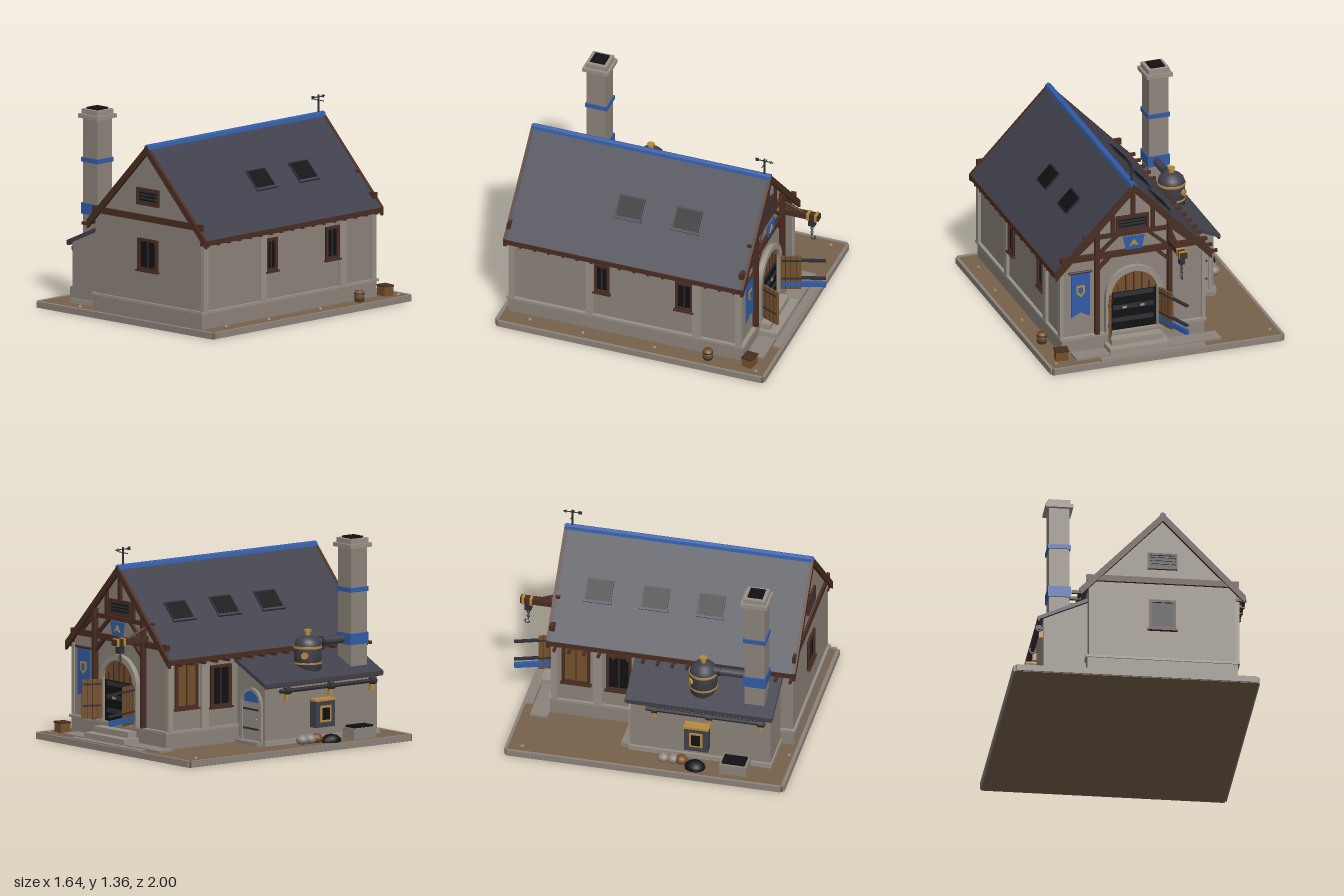
import * as THREE from 'three';

const mat = (name, color, opts = {}) => {
  const m = new THREE.MeshStandardMaterial({ color, ...opts });
  m.name = name;
  return m;
};

export function createModel() {
  const root = new THREE.Group();
  root.name = 'workshop';
  const stone = mat('stone', 0x8c837a), trim = mat('trim stone', 0x979086), earth = mat('earth', 0x77614a);
  const slate = mat('slate', 0x40404c), blue = mat('blue', 0x315ca6), timber = mat('dark timber', 0x4a2d22);
  const wood = mat('wood', 0x74502c), black = mat('black', 0x111113), brass = mat('brass', 0xb58b3e);
  const iron = mat('iron', 0x2e2f37);

  // ---- helpers ----
  const add = (name, geo, m, parent = root) => {
    const mesh = new THREE.Mesh(geo, m);
    mesh.name = name;
    parent.add(mesh);
    return mesh;
  };
  // box given by its limits
  const span = (name, m, x0, x1, y0, y1, z0, z1, parent = root) => {
    const b = add(name, new THREE.BoxGeometry(x1 - x0, y1 - y0, z1 - z0), m, parent);
    b.position.set((x0 + x1) / 2, (y0 + y1) / 2, (z0 + z1) / 2);
    return b;
  };
  // outline in x/y pulled from z0 to z1
  const prism = (name, m, outline, z0, z1, parent = root) => {
    const s = Array.isArray(outline) ? new THREE.Shape(outline.map(p => new THREE.Vector2(...p))) : outline;
    const g = new THREE.ExtrudeGeometry(s, { depth: z1 - z0, bevelEnabled: false, curveSegments: 12 });
    g.translate(0, 0, z0);
    return add(name, g, m, parent);
  };
  const rod = (name, m, a, b, r, sides = 12, parent = root) => {
    const p = new THREE.Vector3(...a), q = new THREE.Vector3(...b), d = q.clone().sub(p);
    const c = add(name, new THREE.CylinderGeometry(r, r, d.length(), sides), m, parent);
    c.position.copy(p).add(q).multiplyScalar(0.5);
    c.quaternion.setFromUnitVectors(new THREE.Vector3(0, 1, 0), d.normalize());
    return c;
  };
  const beam = (name, x0, y0, x1, y1, w, z0, z1) => {
    const b = add(name, new THREE.BoxGeometry(Math.hypot(x1 - x0, y1 - y0), w, z1 - z0), timber);
    b.position.set((x0 + x1) / 2, (y0 + y1) / 2, (z0 + z1) / 2);
    b.rotation.z = Math.atan2(y1 - y0, x1 - x0);
  };
  const place = (name, x, y, z, ry = 0) => {
    const g = new THREE.Group();
    g.name = name;
    g.position.set(x, y, z);
    g.rotation.y = ry;
    root.add(g);
    return g;
  };
  const arch = (cx, r, y0, ys) => new THREE.Shape().moveTo(cx - r, y0).lineTo(cx - r, ys)
    .absarc(cx, ys, r, Math.PI, 0, true).lineTo(cx + r, y0);
  const archRing = (cx, R, r, y0, ys) => arch(cx, R, y0, ys).lineTo(cx + r, y0).lineTo(cx + r, ys)
    .absarc(cx, ys, r, 0, Math.PI, false).lineTo(cx - r, y0);
  const frame = (g, m, w, h, t, d) => {
    for (const s of [-1, 1]) {
      span('frameSide', m, s * (w - t) / 2 - t / 2, s * (w - t) / 2 + t / 2, -h / 2, h / 2, -0.01, d, g);
      span('frameRail', m, -w / 2, w / 2, s * (h - t) / 2 - t / 2, s * (h - t) / 2 + t / 2, -0.01, d, g);
    }
  };
  const windowAt = (x, y, z, ry, w, h, pane = black) => {
    const g = place('window', x, y, z, ry);
    span('pane', pane, -w / 2, w / 2, -h / 2, h / 2, -0.005, 0.004, g);
    frame(g, timber, w, h, 0.018, 0.016);
    span('mullion', pane === black ? iron : timber, -0.004, 0.004, -h / 2, h / 2, 0, 0.01, g);
    span('sill', timber, -w / 2 - 0.01, w / 2 + 0.01, -h / 2 - 0.012, -h / 2, 0, 0.025, g);
  };
  const ventAt = (x, y, z, ry, w, h) => {
    const g = place('vent', x, y, z, ry);
    span('ventBack', black, -w / 2, w / 2, -h / 2, h / 2, -0.005, 0.004, g);
    frame(g, timber, w, h, 0.015, 0.016);
    for (let i = 0; i < 4; i++) {
      span('slat', iron, -w / 2 + 0.015, w / 2 - 0.015, -0.006, 0.006, 0.004, 0.01, g).position.y = (i - 1.5) * h * 0.2;
    }
  };

  // ---- yard ----
  span('ground', earth, -0.81, 0.81, 0, 0.042, -0.89, 0.99);
  for (const s of [-1, 1]) span('kerbSide', stone, s * 0.81 - 0.01, s * 0.81 + 0.01, 0.003, 0.045, -0.88, 0.975);
  span('kerbFront', stone, -0.8, 0.8, 0.003, 0.045, 0.975, 1);
  span('kerbBack', stone, -0.8, 0.8, 0.003, 0.045, -0.9, -0.88);
  for (const [x, z] of [[-0.75, -0.79], [0.76, -0.82], [0.74, -0.1], [0.75, 0.4], [0.73, 0.78], [-0.45, 0.95]]) {
    add('pebble', new THREE.IcosahedronGeometry(0.014), stone).position.set(x, 0.046, z);
  }

  // ---- main house ----
  const cx = 0.175;
  prism('walls', stone, [[-0.315, 0.045], [0.665, 0.045], [0.665, 0.66], [cx, 1.17], [-0.315, 0.66]], -0.68, 0.945);
  span('plinth', stone, -0.325, 0.675, 0.04, 0.148, -0.7, 0.955);
  span('plinthBand', trim, -0.335, 0.688, 0.145, 0.162, -0.71, 0.962);
  for (const [a, b] of [[0.905, 0.948], [0.35, 0.405], [-0.405, -0.346], [-0.69, -0.646]]) {
    span('pilaster', trim, 0.66, 0.686, 0.16, 0.64, a, b);
    if (b < 0) span('pilaster', trim, -0.336, -0.31, 0.16, 0.64, a, b);
  }
  const chevron = (lift, drop) => [[-0.37, 0.645 + lift], [cx, 1.21 + lift], [0.72, 0.645 + lift],
    [0.72, 0.645 - drop], [cx, 1.21 - drop], [-0.37, 0.645 - drop]];
  prism('roof', slate, chevron(0, 0.035), -0.71, 0.962);
  for (const [a, b] of [[-0.718, -0.695], [0.95, 0.972]]) prism('bargeBoard', timber, chevron(0.003, 0.055), a, b);
  prism('ridgeCap', blue, [[cx - 0.024, 1.19], [cx - 0.018, 1.212], [cx, 1.222], [cx + 0.018, 1.212], [cx + 0.024, 1.19]], -0.712, 0.965);
  for (const s of [-1, 1]) {
    const ex = cx + s * 0.545;
    span('eaveBoard', timber, ex - 0.008, ex + 0.008, 0.612, 0.645, -0.705, 0.965);
    for (let i = 0; i < 17; i++) span('rafterTail', timber, ex - 0.06, ex + 0.012, 0.605, 0.625, -0.66 + i * 0.1, -0.642 + i * 0.1);
  }
  const slope = Math.atan2(0.565, 0.545);
  for (const [s, x, zs] of [[-1, -0.105, [-0.417, -0.035, 0.34]], [1, 0.454, [-0.228, 0.175]]]) {
    for (const z of zs) {
      const g = place('skylight', x, 1.21 - Math.abs(x - cx) * 0.565 / 0.545, z);
      g.rotation.z = -s * slope;
      span('skylightFrame', iron, -0.075, 0.075, -0.01, 0.01, -0.09, 0.09, g);
      span('skylightPane', black, -0.066, 0.066, 0.008, 0.013, -0.08, 0.08, g);
      span('skylightSill', slate, s * 0.081 - 0.007, s * 0.081 + 0.007, -0.01, 0.018, -0.098, 0.098, g);
    }
  }

  // front gable and windows
  span('frontTieBeam', timber, -0.33, 0.68, 0.703, 0.745, 0.94, 0.962);
  ventAt(0.174, 0.867, 0.945, 0, 0.2, 0.115);
  windowAt(0.174, 0.48, 0.945, 0, 0.18, 0.21);
  windowAt(0.665, 0.46, 0.295, Math.PI / 2, 0.105, 0.22);
  windowAt(0.665, 0.46, -0.284, Math.PI / 2, 0.124, 0.22);
  windowAt(-0.315, 0.46, -0.525, -Math.PI / 2, 0.19, 0.31, wood);
  windowAt(-0.315, 0.43, -0.235, -Math.PI / 2, 0.17, 0.28);

  // back gable framing
  span('backTieBeam', timber, -0.33, 0.68, 0.7, 0.74, -0.705, -0.67);
  span('collarBeam', timber, -0.17, 0.52, 0.842, 0.87, -0.7, -0.67);
  span('kingPost', timber, cx - 0.014, cx + 0.014, 0.98, 1.16, -0.7, -0.67);
  for (const s of [-1, 1]) {
    const at = d => cx + s * d;
    beam('post', at(0.255), 0.16, at(0.255), 0.9, 0.03, -0.715, -0.67);
    beam('gableBrace', at(0.4), 0.74, at(0.27), 0.855, 0.022, -0.698, -0.67);
    beam('gableBrace', at(0.23), 0.74, at(0.1), 0.855, 0.022, -0.698, -0.67);
    beam('gableStrut', at(0.14), 0.86, at(0.14), 1.03, 0.024, -0.698, -0.67);
    beam('kneeBrace', at(0.255), 0.62, at(0.16), 0.71, 0.022, -0.705, -0.67);
  }
  ventAt(0.178, 0.928, -0.68, Math.PI, 0.23, 0.11);
  prism('plaque', blue, [[0.1, 0.84], [0.25, 0.84], [0.23, 0.745], [0.12, 0.745]], -0.713, -0.706);
  prism('plaqueEmblem', brass, [[0.14, 0.77], [0.175, 0.82], [0.21, 0.77], [0.175, 0.782]], -0.718, -0.713);
  prism('banner', blue, [[0.48, 0.62], [0.61, 0.62], [0.61, 0.3], [0.545, 0.335], [0.48, 0.3]], -0.7, -0.693);
  rod('bannerRod', timber, [0.465, 0.625, -0.7], [0.625, 0.625, -0.7], 0.009);
  prism('bannerEmblem', brass, [[0.515, 0.53], [0.575, 0.53], [0.575, 0.475], [0.545, 0.445], [0.515, 0.475]], -0.705, -0.7);
  prism('bannerEmblemField', blue, [[0.53, 0.517], [0.56, 0.517], [0.56, 0.483], [0.545, 0.467], [0.53, 0.483]], -0.708, -0.705);

  // arched doorway with open leaves
  prism('doorArch', trim, archRing(0.172, 0.2, 0.162, 0.16, 0.42), -0.715, -0.67);
  prism('doorway', black, arch(0.172, 0.164, 0.16, 0.42), -0.688, -0.68);
  prism('fanlight', wood, arch(0.172, 0.155, 0.44, 0.441), -0.696, -0.688);
  for (let i = -2; i <= 2; i++) span('fanlightBar', timber, 0.168 + i * 0.055, 0.176 + i * 0.055, 0.44, 0.575 - 0.02 * i * i, -0.702, -0.695);
  for (const y of [0.22, 0.31, 0.4]) span('forgeBar', iron, 0.03, 0.314, y, y + 0.03, -0.694, -0.687);
  for (const x of [0.11, 0.234]) span('forgeKnob', trim, x - 0.015, x + 0.015, 0.315, 0.33, -0.699, -0.694);
  for (const [x, dx, dz, long] of [[0.335, 0.055, 0.13, 0], [-0.002, -0.095, 0.28, 1]]) {
    const leaf = place('doorLeaf', x, 0, -0.71, Math.atan2(dz, dx));
    span('leafBoards', wood, 0, 0.142, 0.18, 0.44, -0.008, 0.008, leaf);
    for (let i = 1; i < 4; i++) span('leafJoint', timber, i * 0.0355 - 0.002, i * 0.0355 + 0.002, 0.18, 0.44, -0.01, 0.01, leaf);
    const end = long ? 0.302 : 0.135;
    for (const y of [0.26, 0.402]) span('strap', iron, 0.01, end, y, y + 0.012, -0.012, 0.012, leaf);
    if (long) span('kickPlate', blue, 0.01, end, 0.2, 0.236, -0.011, 0.011, leaf);
  }
  // steps and paving
  span('pavingOuter', stone, -0.27, 0.46, 0.04, 0.052, -0.885, -0.83);
  span('pavingInner', stone, -0.4, 0.615, 0.04, 0.056, -0.82, -0.7);
  span('stepLow', trim, -0.04, 0.38, 0.04, 0.09, -0.83, -0.7);
  span('stepHigh', trim, -0.01, 0.35, 0.04, 0.13, -0.77, -0.7);

  // hoist
  span('hoistBeam', timber, -0.113, -0.066, 0.735, 0.775, -0.955, -0.67);
  for (const z of [-0.88, -0.935]) span('hoistBand', brass, -0.117, -0.062, 0.73, 0.78, z - 0.009, z + 0.009);
  rod('hoistBrace', timber, [-0.09, 0.83, -0.69], [-0.09, 0.77, -0.84], 0.01, 6);
  span('pulleyBlock', iron, -0.108, -0.072, 0.68, 0.737, -0.925, -0.88);
  for (let i = 0; i < 5; i++) {
    const link = add('chainLink', new THREE.TorusGeometry(0.009, 0.003, 6, 10), iron);
    link.position.set(-0.09, 0.672 - i * 0.016, -0.902);
    link.rotation.y = (i % 2) * Math.PI / 2;
  }
  const hook = add('hook', new THREE.TorusGeometry(0.015, 0.004, 6, 12, Math.PI * 1.4), iron);
  hook.position.set(-0.09, 0.585, -0.91);
  hook.rotation.set(0, Math.PI / 2, 0);
  hook.rotateZ(Math.PI * 0.95);

  // weather vane
  rod('vanePole', iron, [cx, 1.2, -0.665], [cx, 1.335, -0.665], 0.006, 8);
  rod('vaneCross', iron, [cx - 0.05, 1.298, -0.665], [cx + 0.05, 1.298, -0.665], 0.003, 6);
  rod('vaneArrow', iron, [cx, 1.32, -0.61], [cx, 1.32, -0.72], 0.004, 6);
  span('vaneTail', iron, cx - 0.003, cx + 0.003, 1.31, 1.332, -0.625, -0.603);
  const tip = add('vaneTip', new THREE.ConeGeometry(0.011, 0.025, 8), iron);
  tip.position.set(cx, 1.32, -0.72);
  tip.rotation.x = -Math.PI / 2;

  // ---- lean-to ----
  prism('leanToWalls', stone, [[-0.605, 0.045], [-0.31, 0.045], [-0.31, 0.585], [-0.605, 0.452]], -0.09, 0.86);
  span('leanToPlinth', trim, -0.622, -0.315, 0.04, 0.075, -0.1, 0.87);
  prism('leanToRoof', slate, [[-0.645, 0.435], [-0.31, 0.583], [-0.31, 0.61], [-0.645, 0.46]], -0.12, 0.88);
  span('leanToEave', timber, -0.643, -0.63, 0.428, 0.445, -0.115, 0.875);
  span('leanToStep', stone, -0.6, -0.37, 0.04, 0.07, -0.155, -0.09);
  prism('sideDoorArch', trim, archRing(-0.475, 0.11, 0.088, 0.07, 0.31), -0.108, -0.08);
  prism('sideDoor', trim, arch(-0.475, 0.088, 0.07, 0.31), -0.098, -0.088);
  prism('sideDoorTop', blue, arch(-0.475, 0.075, 0.325, 0.326), -0.103, -0.098);
  for (const y of [0.14, 0.27]) span('sideDoorStrap', iron, -0.56, -0.39, y, y + 0.012, -0.104, -0.097);
  add('sideDoorKnob', new THREE.SphereGeometry(0.009, 10, 8), brass).position.set(-0.535, 0.21, -0.106);

  // side pipe, brackets and firebox
  rod('sidePipe', iron, [-0.632, 0.4, 0.02], [-0.632, 0.4, 0.83], 0.014);
  for (const z of [0.08, 0.45, 0.8]) {
    rod('pipeFlange', iron, [-0.632, 0.4, z - 0.02], [-0.632, 0.4, z + 0.02], 0.024);
    span('pipeBracket', brass, -0.63, -0.6, 0.335, 0.385, z - 0.012, z + 0.012);
  }
  span('firebox', slate, -0.67, -0.6, 0.135, 0.31, 0.29, 0.45);
  span('fireboxTop', brass, -0.678, -0.6, 0.31, 0.325, 0.285, 0.455);
  span('fireboxDoor', brass, -0.676, -0.669, 0.17, 0.28, 0.325, 0.415);
  span('fireboxGrate', black, -0.681, -0.676, 0.185, 0.265, 0.34, 0.4);

  // chimney
  span('chimney', stone, -0.563, -0.427, 0.44, 1.29, 0.672, 0.808);
  for (const [a, b] of [[0.64, 0.715], [0.99, 1.02]]) span('chimneyBand', blue, -0.571, -0.419, a, b, 0.664, 0.816);
  span('chimneyCap', trim, -0.586, -0.404, 1.285, 1.312, 0.649, 0.831);
  span('chimneyCrown', trim, -0.57, -0.42, 1.312, 1.345, 0.665, 0.815);
  span('flue', black, -0.545, -0.445, 1.34, 1.356, 0.69, 0.79);

  // boiler and its flue pipe
  const boiler = place('boiler', -0.477, 0, 0.375);
  const prof = [[0, 0.47], [0.092, 0.47], [0.092, 0.655], [0.082, 0.69], [0.06, 0.712], [0.03, 0.725], [0, 0.728]];
  add('boilerTank', new THREE.LatheGeometry(prof.map(p => new THREE.Vector2(...p)), 24), slate, boiler);
  for (const [y, h] of [[0.65, 0.016], [0.545, 0.012]]) {
    add('boilerBand', new THREE.CylinderGeometry(0.096, 0.096, h, 24), brass, boiler).position.y = y;
  }
  rod('boilerValve', brass, [0, 0.71, 0], [0, 0.765, 0], 0.018, 12, boiler);
  add('boilerValveCap', new THREE.CylinderGeometry(0.026, 0.026, 0.01, 12), brass, boiler).position.y = 0.757;
  rod('boilerGauge', brass, [-0.05, 0.6, -0.06], [-0.066, 0.6, -0.08], 0.024, 14, boiler);
  rod('boilerPipe', slate, [-0.005, 0.675, 0.05], [-0.005, 0.675, 0.31], 0.028, 14, boiler);
  rod('boilerPipeCollar', iron, [-0.005, 0.675, 0.1], [-0.005, 0.675, 0.12], 0.034, 14, boiler);

  // ---- yard goods ----
  span('coalTrough', stone, -0.755, -0.63, 0.04, 0.115, 0.545, 0.73);
  span('troughCoal', black, -0.74, -0.645, 0.11, 0.128, 0.56, 0.715);
  const coal = add('coalHeap', new THREE.IcosahedronGeometry(0.06, 1), black);
  coal.position.set(-0.725, 0.05, 0.375);
  coal.scale.set(0.95, 0.8, 1.2);
  for (const [z, m] of [[0.155, stone], [0.22, stone], [0.275, wood]]) {
    const sack = add('sack', new THREE.SphereGeometry(0.042, 14, 10), m);
    sack.position.set(-0.695, 0.073, z);
    sack.scale.y = 0.8;
  }
  const barrel = place('barrel', 0.735, 0.045, -0.475);
  const stave = [[0, 0], [0.029, 0], [0.035, 0.036], [0.029, 0.073], [0, 0.073]];
  add('barrelBody', new THREE.LatheGeometry(stave.map(p => new THREE.Vector2(...p)), 14), wood, barrel);
  for (const y of [0.016, 0.056]) add('barrelHoop', new THREE.CylinderGeometry(0.035, 0.035, 0.007, 14), iron, barrel).position.y = y;
  const crate = place('crate', 0.7, 0.045, -0.755, -0.15);
  span('crateBody', wood, -0.042, 0.042, 0, 0.068, -0.036, 0.036, crate);
  span('crateLid', timber, -0.046, 0.046, 0.062, 0.072, -0.04, 0.04, crate);
  return root;
}
